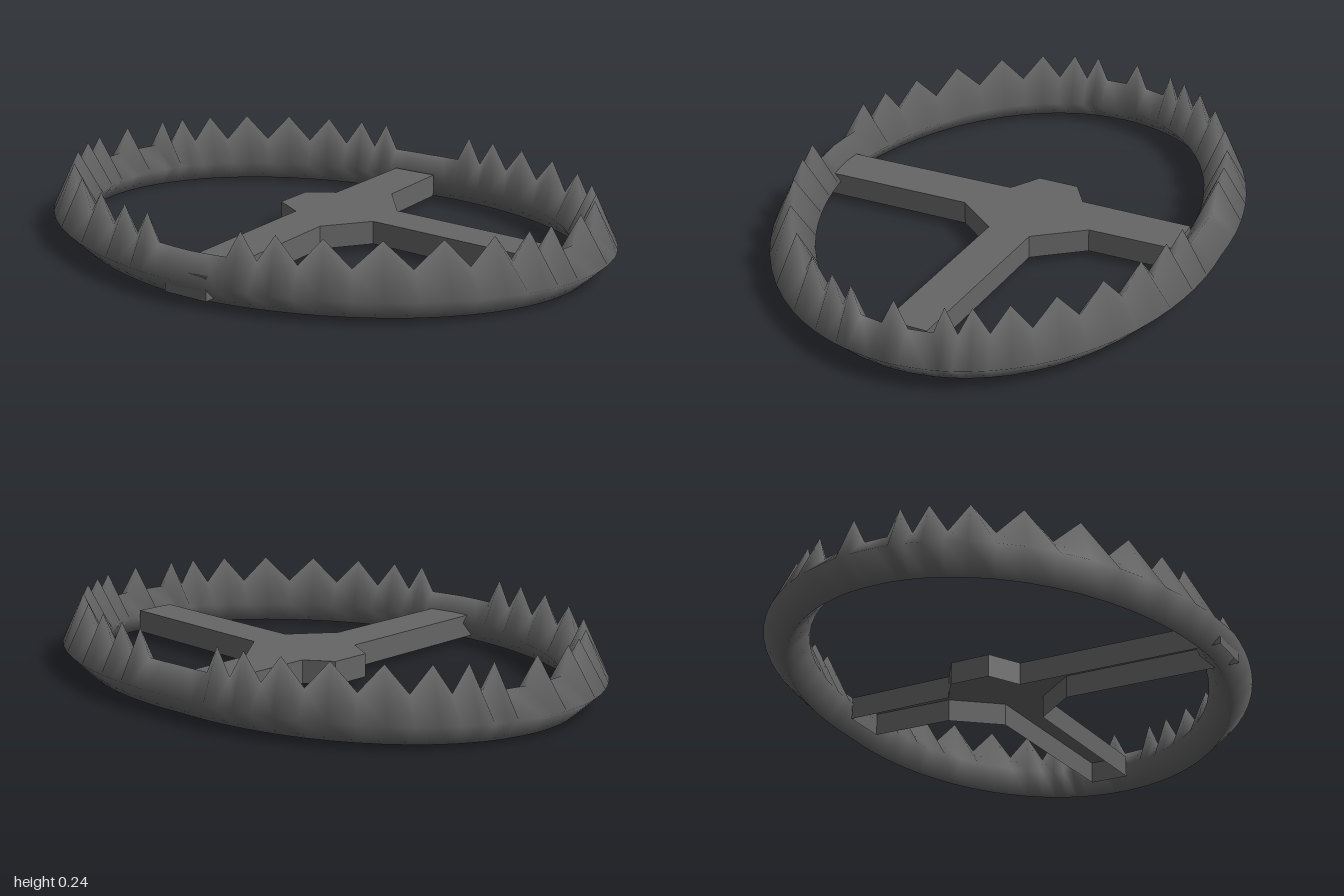
import * as THREE from 'three';
import { mergeGeometries } from 'three/addons/utils/BufferGeometryUtils.js';

const TEETH = 8; // teeth on each quarter of the ring
const GAP = 0.14; // half angle of the plain stretch at front and back
const CREST_Z = 0.677; // half depth of the ring's upper edge

// Teeth between two angles, packed closer towards both ends
function quarter(from, to) {
  const stations = [];
  for (let i = 0; i <= TEETH * 2; i++) {
    const u = i / (TEETH * 2);
    const eased = u - 0.056 * Math.sin(2 * Math.PI * u);
    stations.push({ t: from + (to - from) * eased, peak: i % 2 === 1 });
  }
  return stations;
}

// One side from front to back: teeth, a lone hinge tooth between two flats, teeth
function sideStations(side, skew) {
  const reach = Math.hypot(CREST_Z, skew);
  const angleAt = (z) => Math.acos(z / reach) - Math.atan(skew / CREST_Z);
  const stations = [
    { t: GAP / 2, peak: false },
    ...quarter(GAP, angleAt(0.035)),
    { t: angleAt(-0.04), peak: false },
    { t: angleAt(-0.083), peak: true },
    { t: angleAt(-0.126), peak: false },
    ...quarter(angleAt(-0.2), Math.PI - GAP),
    { t: Math.PI - GAP / 2, peak: false },
  ];
  return stations.map((s) => ({ ...s, side, skew }));
}

// Oval ring with a diamond section whose upper edge rises into teeth
function toothedRing() {
  const stations = [
    { t: 0, peak: false, side: 1, skew: 0 },
    ...sideStations(1, 0.07),
    { t: Math.PI, peak: false, side: 1, skew: 0 },
    ...sideStations(-1, 0.02).reverse(),
  ];
  const positions = [];
  const index = [];
  for (const { t, peak, side, skew } of stations) {
    const section = [
      [1, 0.752, 0.075], // outer edge
      [0.922, CREST_Z, peak ? 0.24 : 0.152], // upper edge or tooth tip
      [0.85, 0.607, 0.075], // inner edge
      [0.922, CREST_Z, 0], // lower edge
    ];
    for (const [rx, rz, y] of section) {
      positions.push(side * rx * Math.sin(t), y, rz * Math.cos(t) - skew * Math.sin(t));
    }
  }
  const n = stations.length;
  for (let i = 0; i < n; i++) {
    const j = (i + 1) % n;
    for (let k = 0; k < 4; k++) {
      const m = (k + 1) % 4;
      const a = i * 4 + k, b = j * 4 + k, c = i * 4 + m, d = j * 4 + m;
      index.push(a, b, c, b, d, c);
    }
  }
  const geometry = new THREE.BufferGeometry();
  geometry.setAttribute('position', new THREE.Float32BufferAttribute(positions, 3));
  geometry.setIndex(index);
  geometry.computeVertexNormals();
  return geometry;
}

// Top plate with side walls, open underneath
function openTray(outline, bottom, top) {
  const shape = new THREE.Shape(outline.map(([x, z]) => new THREE.Vector2(x, -z)));
  const plate = new THREE.ShapeGeometry(shape).rotateX(-Math.PI / 2).translate(0, top, 0).toNonIndexed();
  plate.deleteAttribute('uv');
  plate.computeVertexNormals();

  const positions = [];
  outline.forEach(([x0, z0], i) => {
    const [x1, z1] = outline[(i + 1) % outline.length];
    positions.push(x0, bottom, z0, x0, top, z0, x1, top, z1);
    positions.push(x0, bottom, z0, x1, top, z1, x1, bottom, z1);
  });
  const walls = new THREE.BufferGeometry();
  walls.setAttribute('position', new THREE.Float32BufferAttribute(positions, 3));
  walls.computeVertexNormals();
  return mergeGeometries([plate, walls]);
}

export function createModel() {
  const model = new THREE.Group();
  model.name = 'jawTrap';
  const steel = new THREE.MeshStandardMaterial({ color: 0x666666, side: THREE.DoubleSide });

  const ring = new THREE.Mesh(toothedRing(), steel);
  ring.name = 'toothedRing';

  // Hub with spokes to the back, the left and the front, as x and z
  const outline = [
    [-0.09, -0.612], [0.07, -0.612], [0.077, -0.325], [0.2, -0.17],
    [0.835, -0.14], [0.835, 0], [0.2, -0.025], [0.088, 0.12],
    [0.1, 0.725], [-0.06, 0.725], [-0.075, 0.03], [-0.18, -0.03],
    [-0.18, -0.17], [-0.09, -0.23],
  ];
  const frame = new THREE.Mesh(openTray(outline, 0.022, 0.1), steel);
  frame.name = 'hubAndSpokes';

  model.add(ring, frame);
  return model;
}
